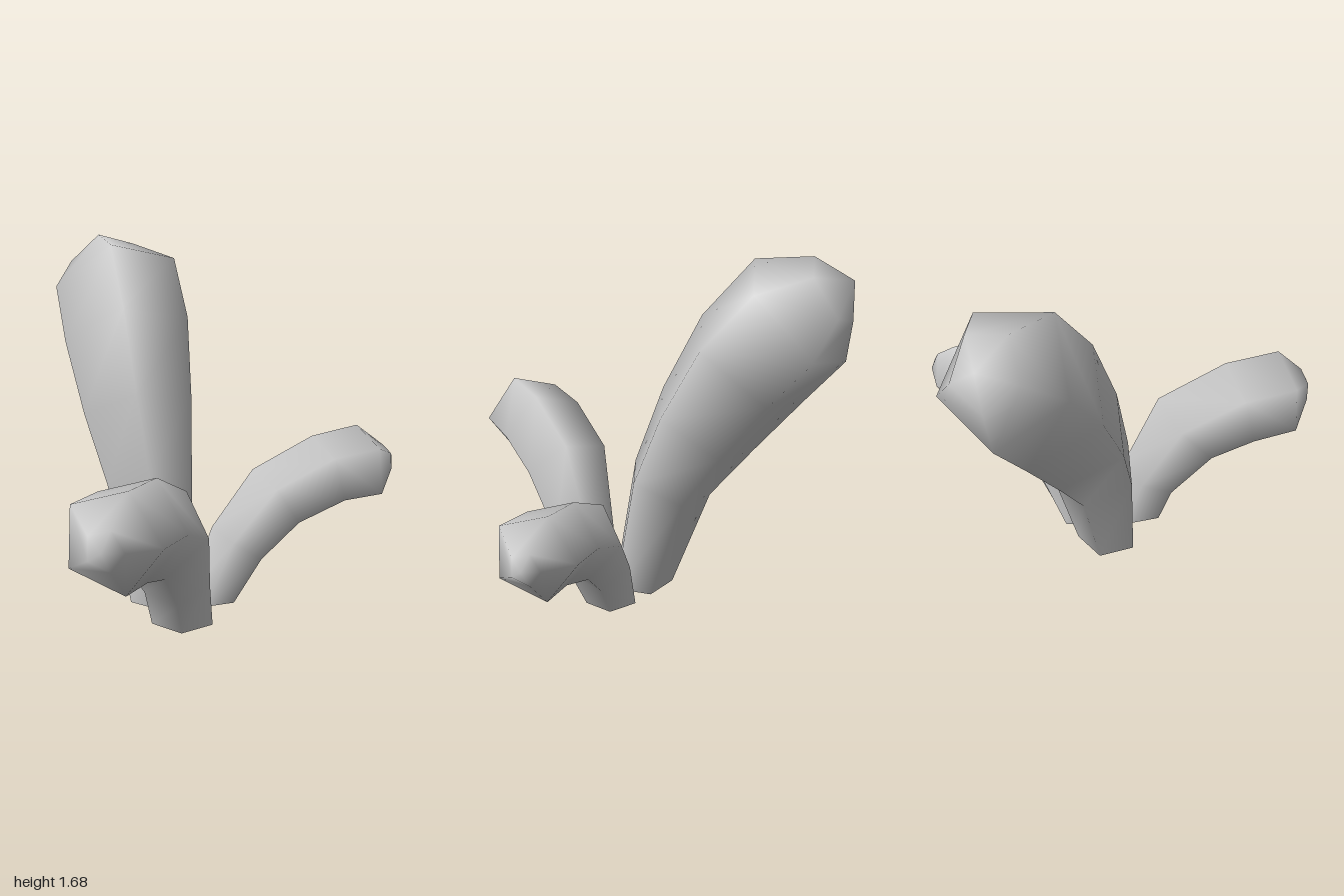
import * as THREE from 'three';

const SIDES = 5;
const PHASE = Math.PI / 10; // turns each pentagon so one corner points sideways
const UP = new THREE.Vector3(0, 1, 0);

// Five-sided stalk, open at the foot, through rings [x, y, z, radius]; the last ring closes on an apex.
function stalkGeometry(rings, apex) {
  const centres = rings.map(([x, y, z]) => new THREE.Vector3(x, y, z));
  const last = centres.length - 1;
  const path = [...centres, new THREE.Vector3(...apex)];
  const lean = centres[last].clone().sub(centres[0]).setY(0);
  const side = UP.clone().cross(lean).normalize();
  const positions = [];
  const index = [];

  // corners of every ring, square to the path (level at the foot)
  centres.forEach((centre, i) => {
    const along = i === 0 ? UP.clone() : path[i + 1].clone().sub(path[i - 1]).normalize();
    const over = along.cross(side).normalize();
    for (let j = 0; j < SIDES; j++) {
      const a = PHASE + (j / SIDES) * Math.PI * 2;
      const p = centre.clone()
        .addScaledVector(over, Math.cos(a) * rings[i][3])
        .addScaledVector(side, Math.sin(a) * rings[i][3]);
      positions.push(p.x, p.y, p.z);
    }
  });
  const tip = positions.length / 3;
  positions.push(...apex);

  // skin and rounded tip
  for (let i = 0; i <= last; i++) {
    for (let j = 0; j < SIDES; j++) {
      const a = i * SIDES + j;
      const b = i * SIDES + (j + 1) % SIDES;
      if (i === last) index.push(a, tip, b);
      else index.push(a, a + SIDES, b, b, a + SIDES, b + SIDES);
    }
  }

  const geometry = new THREE.BufferGeometry();
  geometry.setAttribute('position', new THREE.Float32BufferAttribute(positions, 3));
  geometry.setIndex(index);
  geometry.computeVertexNormals();
  return geometry;
}

export function createModel() {
  const model = new THREE.Group();
  model.name = 'stalkCluster';
  // double-sided because the stalks are open underneath
  const grey = new THREE.MeshStandardMaterial({ color: 0xc8c8c8, side: THREE.DoubleSide });
  grey.name = 'plain grey';

  const stalks = {
    tallBackStalk: {
      rings: [
        [-0.065, 0, 0.08, 0.155], [-0.02, 0.55, -0.05, 0.212], [0.05, 0.865, -0.205, 0.275],
        [0.15, 1.185, -0.39, 0.322], [0.25, 1.43, -0.58, 0.322], [0.285, 1.54, -0.725, 0.175],
      ],
      apex: [0.3, 1.59, -0.82],
    },
    rightStalk: {
      rings: [
        [-0.175, 0, 0.335, 0.145], [-0.235, 0.215, 0.36, 0.155], [-0.405, 0.505, 0.435, 0.215],
        [-0.65, 0.612, 0.545, 0.223], [-0.875, 0.638, 0.65, 0.218], [-0.97, 0.645, 0.72, 0.085],
      ],
      apex: [-1, 0.645, 0.735],
    },
    leftStalk: {
      rings: [
        [0.117, 0, 0.24, 0.124], [0.235, 0.26, 0.295, 0.148], [0.415, 0.465, 0.37, 0.178],
        [0.65, 0.575, 0.485, 0.186], [0.838, 0.6, 0.58, 0.193], [0.96, 0.61, 0.615, 0.07],
      ],
      apex: [0.995, 0.615, 0.63],
    },
  };

  for (const [name, { rings, apex }] of Object.entries(stalks)) {
    const mesh = new THREE.Mesh(stalkGeometry(rings, apex), grey);
    mesh.name = name;
    model.add(mesh);
  }
  return model;
}
